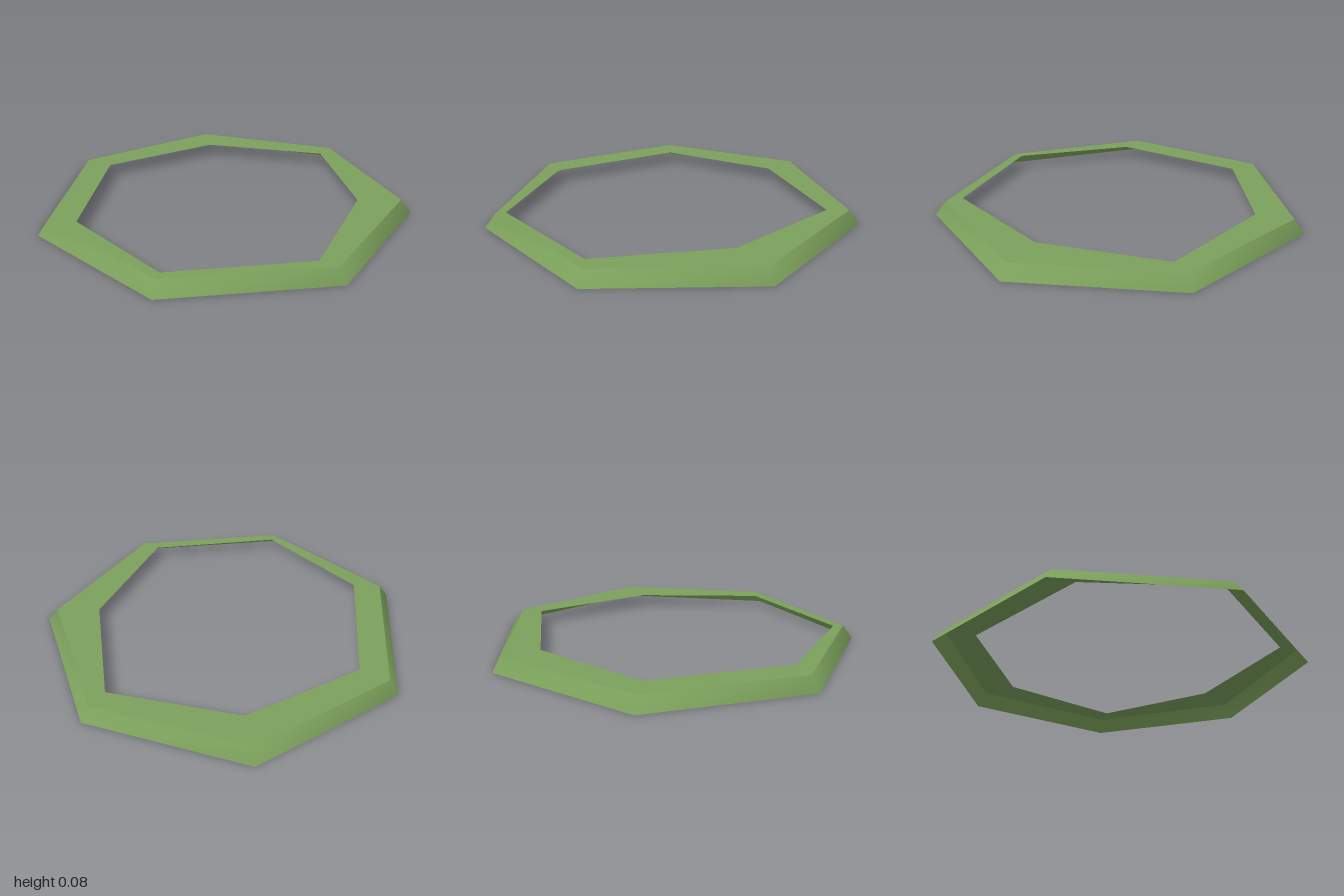
import * as THREE from 'three';

const SIDES = 7;
const HEIGHT = 0.075;

// Corner points of a regular heptagon, slightly off the origin
function heptagon(radius, y) {
  return Array.from({ length: SIDES }, (_, i) => {
    const a = THREE.MathUtils.degToRad(-96.4) + (i * 2 * Math.PI) / SIDES;
    return [-0.024 + radius * Math.cos(a), y, 0.024 + radius * Math.sin(a)];
  });
}

// Closed band of quads between two loops; shared corners give smooth normals
function band(outer, inner) {
  const index = [];
  for (let i = 0; i < SIDES; i++) {
    const j = (i + 1) % SIDES;
    index.push(i, i + SIDES, j, j, i + SIDES, j + SIDES);
  }
  const geometry = new THREE.BufferGeometry();
  geometry.setAttribute('position', new THREE.Float32BufferAttribute([...outer, ...inner].flat(), 3));
  geometry.setIndex(index);
  geometry.computeVertexNormals();
  return geometry;
}

export function createModel() {
  const group = new THREE.Group();
  group.name = 'heptagonalRim';
  const green = new THREE.MeshStandardMaterial({ color: 0x7ba05b, side: THREE.DoubleSide });
  green.name = 'leafGreen';

  const base = heptagon(1.029, 0);
  const shoulder = heptagon(0.973, HEIGHT);
  // Uneven opening in the top face
  const opening = [
    [-0.10, -0.74], [0.594, -0.564], [0.703, 0.131], [0.406, 0.794],
    [-0.332, 0.885], [-0.791, 0.358], [-0.706, -0.409],
  ].map(([x, z]) => [x, HEIGHT, z]);

  // Sloping outer skirt, open underneath
  const skirt = new THREE.Mesh(band(base, shoulder), green);
  skirt.name = 'outerSkirt';

  // Flat top face
  const top = new THREE.Mesh(band(shoulder, opening), green);
  top.name = 'topFace';

  group.add(skirt, top);
  return group;
}
